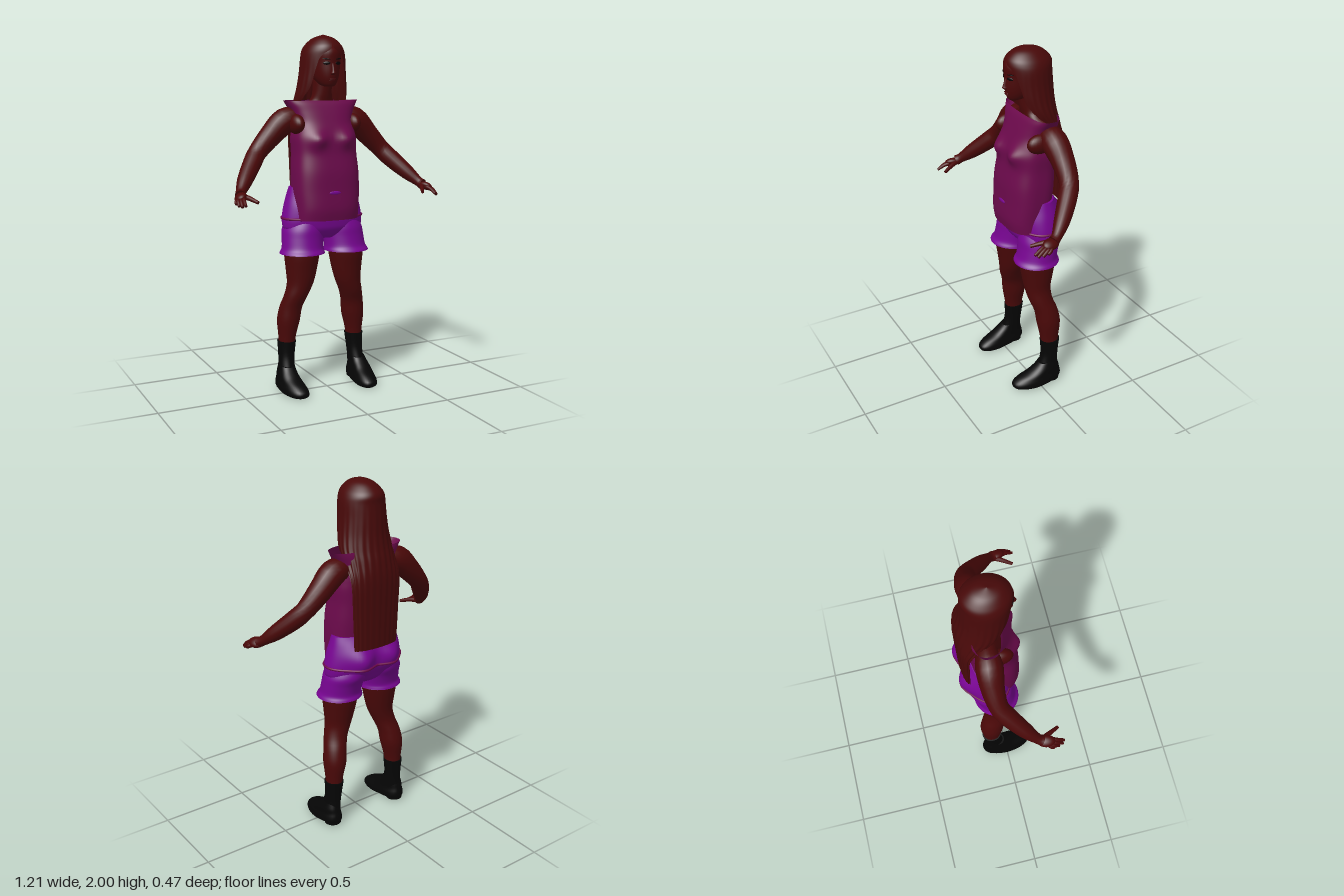
import * as THREE from 'three';

const mat = (name, color, side = THREE.FrontSide) => {
  const m = new THREE.MeshStandardMaterial({ color, side });
  m.name = name;
  return m;
};

// Surface through rows of points; closed rows wrap round
function grid(rows, closed = true) {
  const n = rows[0].length, pos = [], idx = [];
  rows.forEach(r => r.forEach(p => pos.push(p.x, p.y, p.z)));
  for (let j = 0; j < rows.length - 1; j++)
    for (let i = 0; i < (closed ? n : n - 1); i++) {
      const k = (i + 1) % n, a = j * n + i, b = j * n + k, c = b + n, d = a + n;
      idx.push(a, b, c, a, c, d);
    }
  const g = new THREE.BufferGeometry();
  g.setAttribute('position', new THREE.Float32BufferAttribute(pos, 3));
  g.setIndex(idx);
  g.computeVertexNormals();
  return g;
}

const mid = ring => {
  const c = new THREE.Vector3();
  ring.forEach(p => c.add(p));
  c.divideScalar(ring.length);
  return ring.map(() => c.clone());
};
const capped = rows => {
  const first = rows[0], last = rows[rows.length - 1];
  return [mid(first), first, ...rows, last, mid(last)];
};

// Smoothly resample a list of number tuples
function smooth(list, steps) {
  const out = [];
  for (let i = 0; i < list.length - 1; i++) {
    const p = k => list[Math.min(list.length - 1, Math.max(0, k))];
    for (let s = 0; s < steps; s++) {
      const t = s / steps;
      out.push(list[i].map((_, c) => {
        const a = p(i - 1)[c], b = p(i)[c], d = p(i + 1)[c], e = p(i + 2)[c];
        return b + 0.5 * t * (d - a + t * (2 * a - 5 * b + 4 * d - e + t * (3 * (b - d) + e - a)));
      }));
    }
  }
  out.push(list[list.length - 1]);
  return out;
}

// Horizontal rounded ring from [y, centre x, half width, front z, back z]
function ring([y, cx, rx, zf, zb], power, n) {
  const bend = v => Math.sign(v) * Math.abs(v) ** (2 / power);
  return Array.from({ length: n }, (_, i) => {
    const a = i / n * Math.PI * 2;
    return new THREE.Vector3(cx + rx * bend(Math.sin(a)), y, (zf + zb) / 2 + (zf - zb) / 2 * bend(Math.cos(a)));
  });
}

// Upright loft through such rings, lowest first; shape moves each point
function loft(sections, { power = 2, caps = true, n = 40, steps = 4, shape = p => p } = {}) {
  const rows = smooth(sections, steps).map(s => ring(s, power, n).map(shape));
  return grid(caps ? capped(rows) : rows);
}

// Limb along a path: points are [x, y, z, radius]
function limb(points, n = 18, steps = 4) {
  const pts = smooth(points, steps), v = pts.map(p => new THREE.Vector3(p[0], p[1], p[2]));
  const rows = v.map((c, j) => {
    const t = v[Math.min(j + 1, v.length - 1)].clone().sub(v[Math.max(j - 1, 0)]).normalize();
    const u = new THREE.Vector3(0, 1, 0).cross(t).normalize(), w = t.clone().cross(u);
    return Array.from({ length: n }, (_, i) => {
      const a = i / n * Math.PI * 2;
      return c.clone().addScaledVector(u, Math.cos(a) * pts[j][3]).addScaledVector(w, Math.sin(a) * pts[j][3]);
    });
  });
  return grid(capped(rows));
}

// Paired soft bulges pushing points along z
const bump = (p, x, y, sx, sy) => Math.exp(-(((Math.abs(p.x) - x) / sx) ** 2) - ((p.y - y) / sy) ** 2);
const bust = p => {
  if (p.z > -.03) p.z += .032 * bump(p, .085, 1.43, .05, .045);
  return p;
};
const rear = p => {
  p.z -= .05 * bump(p, .1, 1.03, .075, .085) * Math.min(1, Math.max(0, (-.07 - p.z) / .08));
  return p;
};

export function createModel() {
  const root = new THREE.Group();
  const skin = mat('skin', 0x4a0808);
  const hairMat = mat('hair', 0x480909, THREE.DoubleSide);
  const topMat = mat('magentaCloth', 0x6c0a4c, THREE.DoubleSide);
  const shortsMat = mat('purpleCloth', 0x780592, THREE.DoubleSide);
  const black = mat('blackLeather', 0x050505);
  const eyeMat = mat('darkEye', 0x0c0203);
  const lipMat = mat('lip', 0x48070a);

  const add = (name, geo, m) => {
    const mesh = new THREE.Mesh(geo, m);
    mesh.name = name;
    root.add(mesh);
    return mesh;
  };
  const blob = (name, m, p, s, ry = 0, rz = 0) => {
    const b = add(name, new THREE.SphereGeometry(1, 24, 16), m);
    b.position.set(...p);
    b.scale.set(...s);
    b.rotation.set(0, ry, rz);
  };

  // Chest, neck and head
  add('chestAndNeck', loft([
    [1.25, 0, .15, .04, -.14], [1.42, 0, .15, .04, -.15], [1.5, 0, .15, .025, -.16], [1.56, 0, .17, -.01, -.155],
    [1.6, 0, .14, -.025, -.15], [1.635, 0, .075, -.02, -.135], [1.68, 0, .055, -.01, -.12], [1.76, 0, .055, 0, -.12]]), skin);
  add('head', loft([
    [1.718, 0, .02, .05, .0], [1.73, 0, .042, .063, -.05], [1.76, 0, .062, .073, -.1], [1.8, 0, .075, .078, -.14],
    [1.85, 0, .083, .078, -.16], [1.9, 0, .09, .08, -.16], [1.93, 0, .085, .062, -.15], [1.965, 0, .05, .01, -.11]]), skin);
  add('nose', loft([
    [1.782, 0, .008, .083, .06], [1.79, 0, .014, .095, .06], [1.803, 0, .01, .092, .06], [1.845, 0, .006, .078, .06]], { n: 16 }), skin);
  blob('upperLip', lipMat, [0, 1.762, .073], [.022, .004, .0045]);
  blob('lowerLip', lipMat, [0, 1.753, .071], [.019, .005, .0045]);

  // Long hair: an open sheet, [y, half width, centre z, depth, face opening angle]
  const hair = smooth([
    [1.1, .14, -.185, .035, 1.5], [1.3, .148, -.185, .04, 1.5], [1.48, .155, -.18, .05, 1.5], [1.58, .152, -.13, .09, 1.4],
    [1.65, .15, -.09, .115, 1.1], [1.72, .14, -.07, .125, .85], [1.8, .13, -.06, .13, .75], [1.88, .123, -.055, .13, .55],
    [1.92, .112, -.055, .13, .12], [1.95, .092, -.052, .113, 0], [1.982, .055, -.05, .07, 0], [2, .002, -.05, .002, 0]], 5);
  add('hair', grid(hair.map(([y, rx, zc, rz, open]) => Array.from({ length: 121 }, (_, i) => {
    const gap = Math.max(0, open), a = gap + i / 120 * (Math.PI * 2 - 2 * gap);
    const r = 1 + .02 * Math.sin(a * 23) * Math.min(1, Math.max(0, (1.9 - y) * 3));
    return new THREE.Vector3(rx * r * Math.sin(a), y, zc + rz * r * Math.cos(a));
  })), false), hairMat);

  // Loose sleeveless top with a straight open neckline
  add('top', loft([
    [.985, 0, .183, .1, -.14], [1.05, 0, .186, .11, -.15], [1.15, 0, .191, .105, -.155], [1.25, 0, .19, .1, -.165],
    [1.35, 0, .183, .084, -.17], [1.43, 0, .184, .075, -.175], [1.48, 0, .176, .062, -.178], [1.53, 0, .168, .045, -.18],
    [1.58, 0, .182, .027, -.178], [1.62, 0, .205, .01, -.172], [1.642, 0, .22, -.005, -.165]],
  { power: 2.8, caps: false, n: 72, steps: 6, shape: bust }), topMat);

  // Shorts: hips with a shaped rear, and the hem line crossing them
  add('shortsHips', loft([
    [.875, 0, .1, .01, -.14], [.9, 0, .19, .035, -.16], [.93, 0, .232, .052, -.175], [.96, 0, .24, .058, -.188], [1, 0, .238, .06, -.195],
    [1.06, 0, .226, .055, -.195], [1.12, 0, .21, .035, -.18], [1.165, 0, .198, .02, -.16]],
  { power: 2.2, n: 72, steps: 5, shape: rear }), shortsMat);
  blob('shortsFrontSpot', shortsMat, [0, 1.14, .105], [.035, .01, .0045]);
  const hem = ring([.99, 0, .24, .062, -.197], 2.2, 72).map(rear);
  add('hemBand', new THREE.TubeGeometry(new THREE.CatmullRomCurve3(hem, true), 144, .007, 8, true), topMat);

  for (const s of [1, -1]) {
    const side = s > 0 ? 'left' : 'right';
    const at = list => list.map(([y, cx, ...rest]) => [y, cx * s, ...rest]);
    const flip = list => list.map(([x, ...rest]) => [x * s, ...rest]);

    // Face details
    blob(side + 'Eye', eyeMat, [.034 * s, 1.845, .068], [.02, .009, .0045], .4 * s);
    blob(side + 'Brow', eyeMat, [.036 * s, 1.868, .068], [.022, .0035, .0045], .4 * s, .1 * s);

    // Shoulder showing through the armhole, arm and hand
    blob(side + 'ShoulderFront', skin, [.172 * s, 1.515, -.035], [.042, .055, .078]);
    add(side + 'Arm', limb(flip([
      [.13, 1.55, -.088, .055], [.215, 1.53, -.093, .072], [.3, 1.45, -.097, .063], [.38, 1.365, -.085, .052],
      [.43, 1.305, -.045, .051], [.5, 1.225, .03, .042], [.543, 1.175, .085, .028], [.555, 1.16, .11, .03]])), skin);
    blob(side + 'Palm', skin, [.562 * s, 1.153, .13], [.034, .022, .048], .2 * s, -.5 * s);
    [[.548, .57, .228, 1.118], [.562, .585, .218, 1.112], [.575, .594, .195, 1.114], [.582, .598, .168, 1.122]].forEach(([x, tx, tz, ty], i) =>
      add(side + 'Finger' + (i + 1), limb(flip([
        [x, 1.152 - i * .004, .14, .013], [(x + tx) / 2 + .005, 1.142 - i * .004, (tz + .14) / 2, .011], [tx, ty, tz, .008]]), 10), skin));
    add(side + 'Thumb', limb(flip([[.55, 1.155, .105, .016], [.525, 1.148, .155, .013], [.496, 1.13, .212, .009]]), 10), skin);

    // Shorts leg with a flared hem, tapering up into the hips
    add(side + 'ShortsLeg', loft(at([
      [.793, .137, .129, .09, -.165], [.802, .136, .126, .086, -.162], [.825, .132, .119, .07, -.155], [.88, .126, .119, .06, -.168],
      [.93, .12, .117, .055, -.185], [.98, .11, .1, .04, -.17]]), { caps: false, n: 56, shape: rear }), shortsMat);

    // Leg
    add(side + 'Leg', loft(at([
      [.2, .215, .042, -.04, -.132], [.3, .213, .048, -.03, -.14], [.4, .205, .064, -.012, -.152], [.48, .194, .064, -.002, -.138],
      [.55, .172, .067, .022, -.116], [.62, .15, .075, .037, -.115], [.7, .142, .088, .05, -.13], [.8, .137, .1, .065, -.15],
      [.88, .13, .1, .05, -.15]])), skin);

    // Ankle boot shaft and shoe, heel slightly raised
    add(side + 'BootShaft', loft(at([
      [.08, .226, .048, 0, -.135], [.14, .222, .045, -.02, -.132], [.2, .218, .046, -.032, -.136], [.28, .215, .053, -.028, -.146]])), black);
    const pitch = p => {
      p.y += Math.max(0, .04 - p.z) * .13;
      p.x -= s * Math.max(0, p.z) * .1;
      return p;
    };
    add(side + 'Shoe', loft(at([
      [0, .226, .055, .14, -.14], [.012, .228, .066, .155, -.147], [.035, .228, .064, .152, -.146], [.06, .228, .057, .118, -.14],
      [.085, .228, .052, .06, -.135], [.11, .226, .046, .015, -.128], [.13, .224, .042, -.01, -.122]]), { power: 2.4, shape: pitch }), black);
    const heel = add(side + 'Heel', new THREE.CylinderGeometry(.05, .048, .03, 24), black);
    heel.position.set(.228 * s, .022, -.09);
  }
  return root;
}
